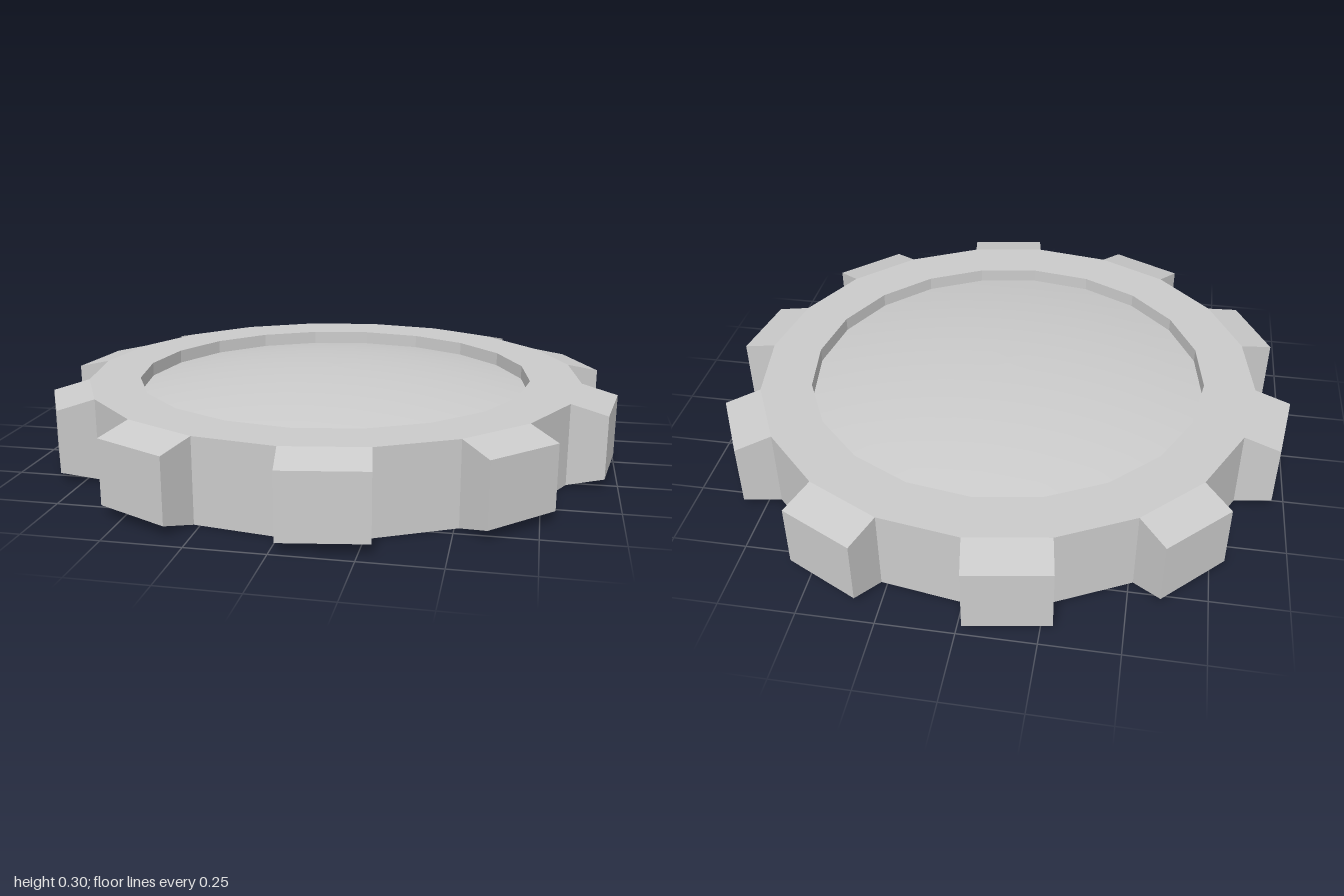
import * as THREE from 'three';

const SIDES = 20, RADIUS = 0.875, HEIGHT = 0.28;
const RECESS_R = 0.697, RECESS_Y = 0.232, DOME_Y = 0.302;

export function createModel() {
  const group = new THREE.Group();
  const flat = new THREE.MeshStandardMaterial({ color: 0xcccccc, flatShading: true });
  const smooth = new THREE.MeshStandardMaterial({ color: 0xcccccc });
  const add = (name, geometry, material) => {
    const mesh = new THREE.Mesh(geometry, material);
    mesh.name = name;
    group.add(mesh);
    return mesh;
  };

  // Faceted disc: flat base, outer wall, rim and the wall of the recess
  const profile = [
    [0, 0], [RADIUS, 0], [RADIUS, HEIGHT], [RECESS_R, HEIGHT], [RECESS_R, RECESS_Y],
  ].map(([r, y]) => new THREE.Vector2(r, y));
  add('body', new THREE.LatheGeometry(profile, SIDES), flat);

  // Shallow smooth dome filling the recess
  const dome = [];
  for (let i = 0; i <= 8; i++) {
    const t = 1 - i / 8;
    dome.push(new THREE.Vector2(RECESS_R * t, DOME_Y - (DOME_Y - RECESS_Y) * t * t));
  }
  add('dome', new THREE.LatheGeometry(dome, SIDES), smooth);

  // Tapered teeth, one on every other side of the disc
  const half = Math.PI / SIDES;
  const inner = RADIUS * Math.cos(half), width = 2 * RADIUS * Math.sin(half);
  const outer = 0.988;
  const section = new THREE.Shape([
    [inner, 0], [outer, 0.035], [outer, 0.25], [inner, HEIGHT],
  ].map(([r, y]) => new THREE.Vector2(r, y)));
  const toothGeometry = new THREE.ExtrudeGeometry(section, { depth: width, bevelEnabled: false });
  toothGeometry.translate(0, 0, -width / 2);
  for (let i = 0; i < SIDES / 2; i++) {
    const tooth = add('tooth', toothGeometry, flat);
    tooth.rotation.y = half + i * 4 * half - Math.PI / 2;
  }

  return group;
}
